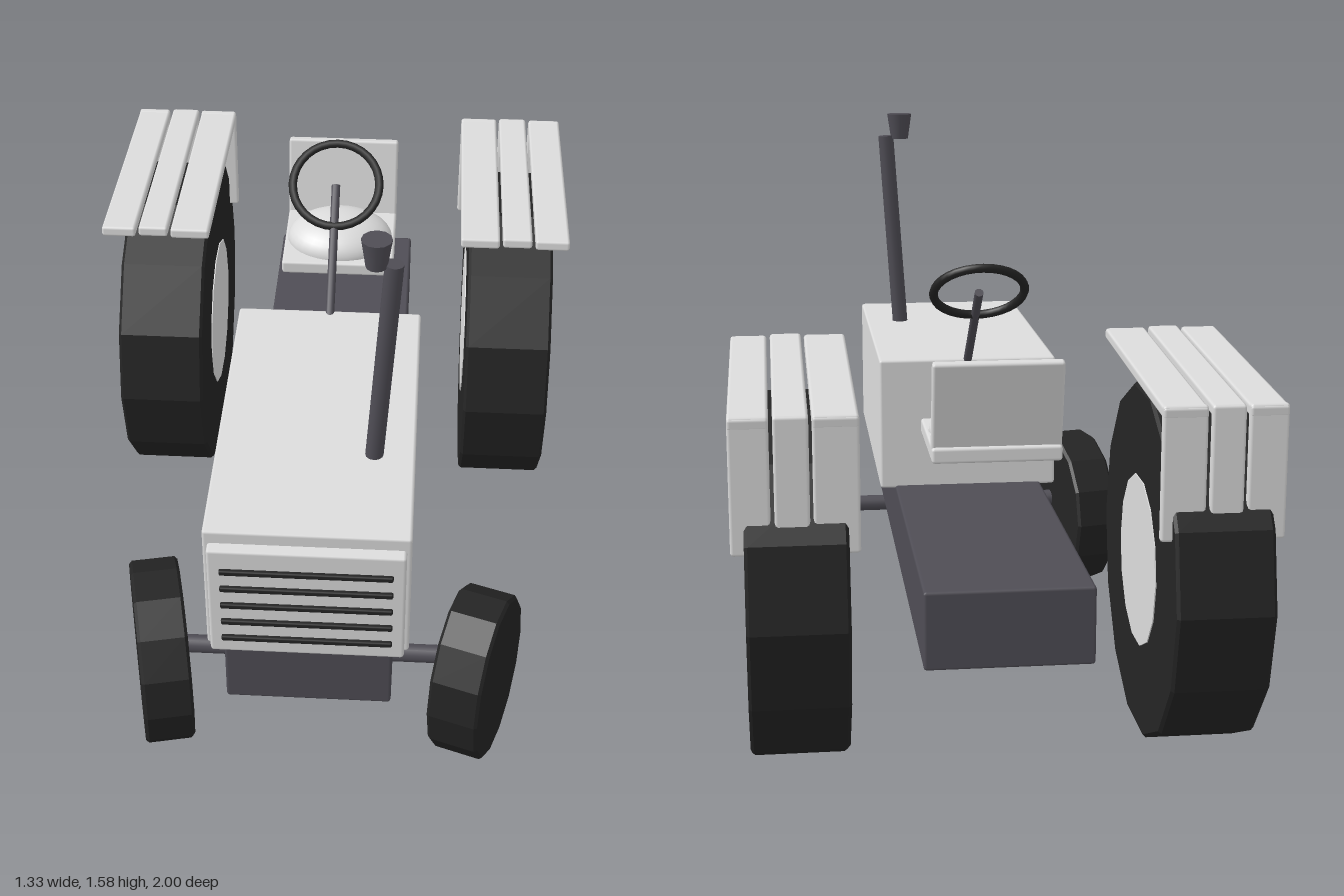
import * as THREE from 'three';
import { RoundedBoxGeometry } from 'three/addons/geometries/RoundedBoxGeometry.js';

export function createModel() {
  const model = new THREE.Group();
  model.name = 'tractor';
  const mat = (name, color) => {
    const m = new THREE.MeshStandardMaterial({ color });
    m.name = name;
    return m;
  };
  const paint = mat('light grey paint', 0xdcdcdc);
  const metal = mat('dark grey metal', 0x4f4d55);
  const rubber = mat('black rubber', 0x242424);

  const add = (name, geo, material, pos = [0, 0, 0], rot = [0, 0, 0], parent = model) => {
    const m = new THREE.Mesh(geo, material);
    m.name = name;
    m.position.set(...pos);
    m.rotation.set(...rot);
    parent.add(m);
    return m;
  };
  const box = (w, h, d, r = 0.008) => new RoundedBoxGeometry(w, h, d, 1, r);
  const faceted = (geo) => {
    const g = geo.toNonIndexed();
    g.computeVertexNormals();
    return g;
  };
  // Round bar between two points
  const rod = (name, a, b, r, material) => {
    const p = new THREE.Vector3(...a), q = new THREE.Vector3(...b);
    const m = add(name, new THREE.CylinderGeometry(r, r, p.distanceTo(q), 12), material);
    m.position.copy(p).add(q).multiplyScalar(0.5);
    m.quaternion.setFromUnitVectors(new THREE.Vector3(0, 1, 0), q.sub(p).normalize());
  };
  // Fourteen-sided tyre with a small bevel, axle along x
  const tyre = (r, w) => {
    const h = w / 2, b = 0.008;
    const profile = [[0, -h], [r - b, -h], [r, b - h], [r, h - b], [r - b, h], [0, h]];
    const g = new THREE.LatheGeometry(profile.map(([x, y]) => new THREE.Vector2(x, y)), 14);
    return faceted(g.rotateZ(Math.PI / 2));
  };

  // Body
  add('chassis', box(0.42, 0.2, 1.855), metal, [0, 0.47, 0.03]);
  add('hood', box(0.504, 0.375, 0.92), paint, [0, 0.75, 0.5]);
  add('grillePanel', box(0.48, 0.335, 0.05), paint, [0, 0.735, 0.965]);
  for (let i = 0; i < 5; i++) {
    add('grilleSlat', box(0.42, 0.015, 0.014, 0.004), rubber, [0, 0.62 + i * 0.055, 0.993]);
  }

  // Exhaust
  rod('exhaustPipe', [0.147, 0.92, 0.65], [0.187, 1.515, 0.65], 0.023, metal);
  add('exhaustCap', new THREE.CylinderGeometry(0.037, 0.026, 0.075, 12), metal, [0.145, 1.544, 0.65]);

  // Steering
  rod('steeringColumn', [0, 0.92, 0.065], [0, 1.175, -0.232], 0.012, metal);
  add('steeringWheel', new THREE.TorusGeometry(0.122, 0.012, 8, 32), rubber,
    [0, 1.177, -0.232], [-0.87, 0, 0]);

  // Seat
  add('seatBase', box(0.33, 0.04, 0.33), paint, [0, 0.835, -0.475]);
  const cushion = add('seatCushion', new THREE.SphereGeometry(1, 32, 20), paint, [0, 0.855, -0.455]);
  cushion.scale.set(0.157, 0.077, 0.13);
  add('seatBack', box(0.33, 0.26, 0.03), paint, [0, 0.95, -0.63], [-0.2, 0, 0]);

  // Rear wheels and their three-strip fenders
  const strips = [[0.357, 0.467], [0.475, 0.558], [0.567, 0.663]];
  for (const s of [-1, 1]) {
    const wheel = new THREE.Group();
    wheel.name = s > 0 ? 'rearWheelLeft' : 'rearWheelRight';
    wheel.position.set(s * 0.508, 0.512, -0.53);
    model.add(wheel);
    add('rearTyre', tyre(0.467, 0.245), rubber, [0, 0, 0], [0, 0, 0], wheel);
    const hub = new THREE.CylinderGeometry(0.226, 0.226, 0.251, 14).rotateZ(Math.PI / 2);
    add('rearHub', faceted(hub), paint, [0, 0, 0], [0, 0, 0], wheel);

    strips.forEach(([a, b], i) => {
      const x = s * (a + b) / 2, lift = i === 1 ? 0.004 : 0;
      add('fenderTop', box(b - a, 0.03, 0.765), paint, [x, 1.02 + lift, -0.537], [-0.06, 0, 0]);
      add('fenderBack', box(b - a, 0.335, 0.025), paint, [x, 0.848, -0.905 - lift]);
    });
  }

  // Front axle and steered wheels
  rod('frontAxle', [-0.4, 0.318, 0.73], [0.39, 0.318, 0.73], 0.025, metal);
  add('frontWheelRight', tyre(0.245, 0.13), rubber, [-0.413, 0.29, 0.73], [0, 0.22, 0]);
  const left = add('frontWheelLeft', tyre(0.251, 0.139), rubber, [0.431, 0.246, 0.718], [0, -0.325, 0]);
  left.scale.z = 0.78;

  return model;
}
